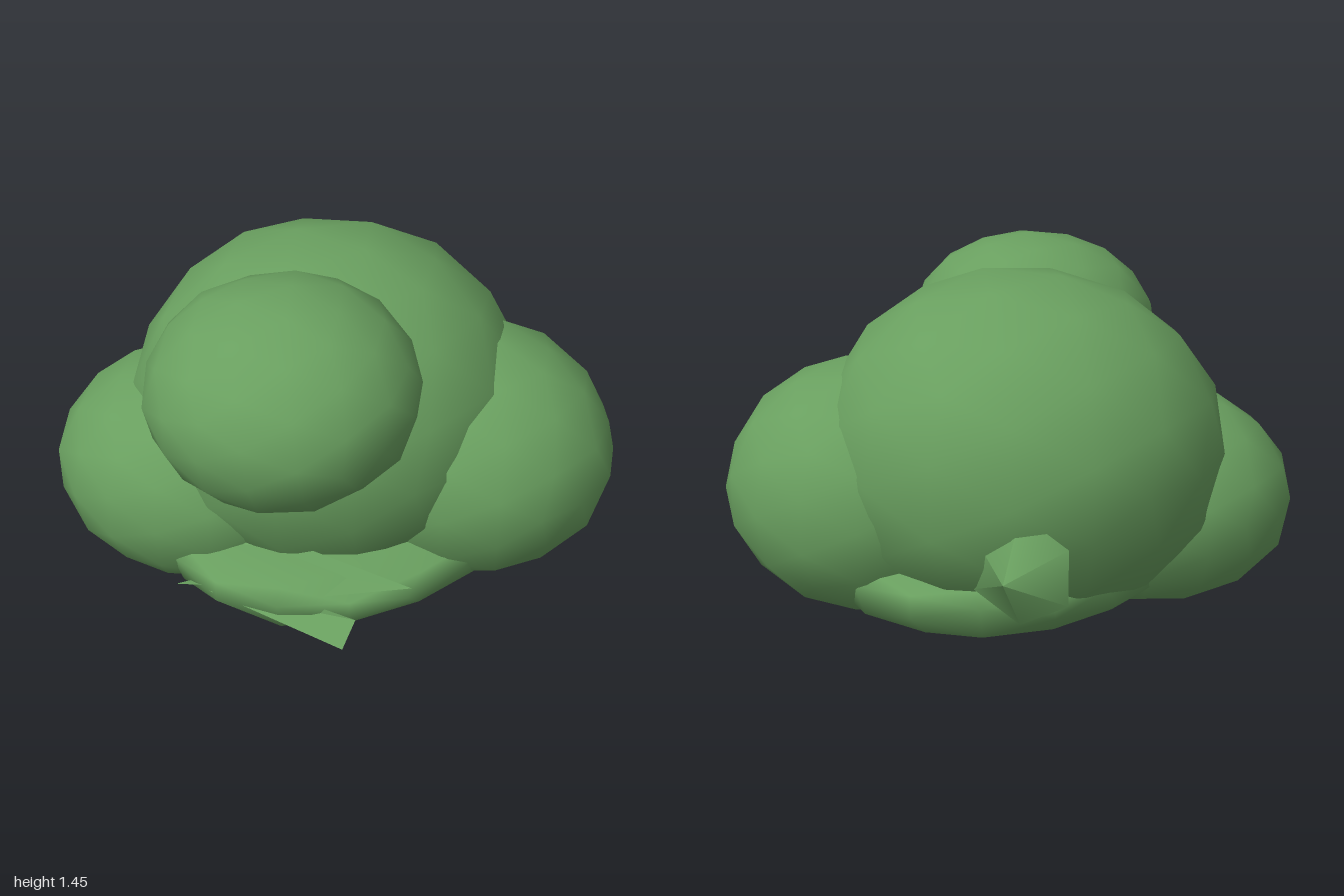
import * as THREE from 'three';
import { mergeVertices } from 'three/addons/utils/BufferGeometryUtils.js';

const leafGreen = new THREE.MeshStandardMaterial({ color: 0x699f5f, side: THREE.DoubleSide });
leafGreen.name = 'leafGreen';

// Low-poly ball with smooth normals, fitted to the box between min and max.
// lump makes it uneven, crown flattens the upper half, tilt leans it about x.
function clump(name, min, max, { lump = 0.008, crown = 1, tilt = 0 } = {}) {
  let geo = new THREE.IcosahedronGeometry(1, 2);
  geo.deleteAttribute('uv');
  geo.deleteAttribute('normal');
  geo = mergeVertices(geo, 1e-3);
  const lo = new THREE.Vector3(...min), size = new THREE.Vector3(...max).sub(lo);
  const pos = geo.attributes.position, v = new THREE.Vector3();
  for (let i = 0; i < pos.count; i++) {
    v.fromBufferAttribute(pos, i);
    const bump = Math.sin(v.x * 9 + 1) * Math.cos(v.y * 7) + Math.sin(v.z * 8 + 2);
    v.multiplyScalar(1 + lump * bump);
    pos.setXYZ(i, v.x, v.y > 0 ? v.y * crown : v.y, v.z);
  }
  geo.scale(size.x, size.y, size.z);
  geo.rotateX(tilt);
  geo.computeBoundingBox();
  const box = geo.boundingBox, got = box.getSize(new THREE.Vector3());
  geo.translate(-box.min.x, -box.min.y, -box.min.z);
  geo.scale(size.x / got.x, size.y / got.y, size.z / got.z);
  geo.translate(lo.x, lo.y, lo.z);
  geo.computeVertexNormals();
  const mesh = new THREE.Mesh(geo, leafGreen);
  mesh.name = name;
  return mesh;
}

// Thin pointed leaf flap, a fan of triangles around its first corner.
function flap(name, corners) {
  const tri = [];
  for (let i = 1; i < corners.length - 1; i++) tri.push(...corners[0], ...corners[i], ...corners[i + 1]);
  const geo = new THREE.BufferGeometry();
  geo.setAttribute('position', new THREE.Float32BufferAttribute(tri, 3));
  geo.computeVertexNormals();
  const mesh = new THREE.Mesh(geo, leafGreen);
  mesh.name = name;
  return mesh;
}

// Blunt pointed bump
function bump(name, radius, height, position, turn) {
  const mesh = new THREE.Mesh(new THREE.ConeGeometry(radius, height, 6), leafGreen);
  mesh.name = name;
  mesh.position.set(...position);
  mesh.rotation.x = turn;
  return mesh;
}

export function createModel() {
  const bush = new THREE.Group();
  bush.name = 'bush';

  // Rounded foliage masses
  bush.add(
    clump('mainFoliage', [-0.82, 0.1, -0.88], [0.68, 1.39, 0.63]),
    clump('upperFrontFoliage', [-0.38, 0.7, -0.05], [0.6, 1.45, 0.88], { tilt: 0.27 }),
    clump('rightFoliage', [-1, 0.06, -0.27], [0.12, 0.92, 0.77]),
    clump('leftFoliage', [-0.13, 0.1, -0.88], [1, 1.06, 0.21]),
    clump('baseFoliage', [-0.64, 0.06, -0.84], [0.71, 0.48, 0.73], { lump: 0.015, crown: 0.4 })
  );

  // Pointed bumps under the base and on the back
  bush.add(
    bump('baseTip', 0.28, 0.12, [-0.08, 0.06, 0.18], Math.PI),
    bump('backTip', 0.2, 0.14, [-0.35, 0.52, -0.84], -Math.PI / 2)
  );

  // Ragged flaps along the front of the base
  bush.add(
    flap('frontUpperFlap', [[-0.31, 0.35, 0.68], [0.25, 0.37, 0.68], [0.66, 0.44, 0.4], [0.2, 0.48, 0.48], [-0.1, 0.42, 0.58]]),
    flap('frontLeftFlap', [[-0.19, 0.25, 0.7], [-0.02, 0.34, 0.72], [0.05, 0.38, 0.6]]),
    flap('frontRightFlap', [[0.0, 0.33, 0.73], [0.53, 0.26, 0.64], [0.53, 0.34, 0.56], [0.25, 0.38, 0.64]])
  );
  return bush;
}
